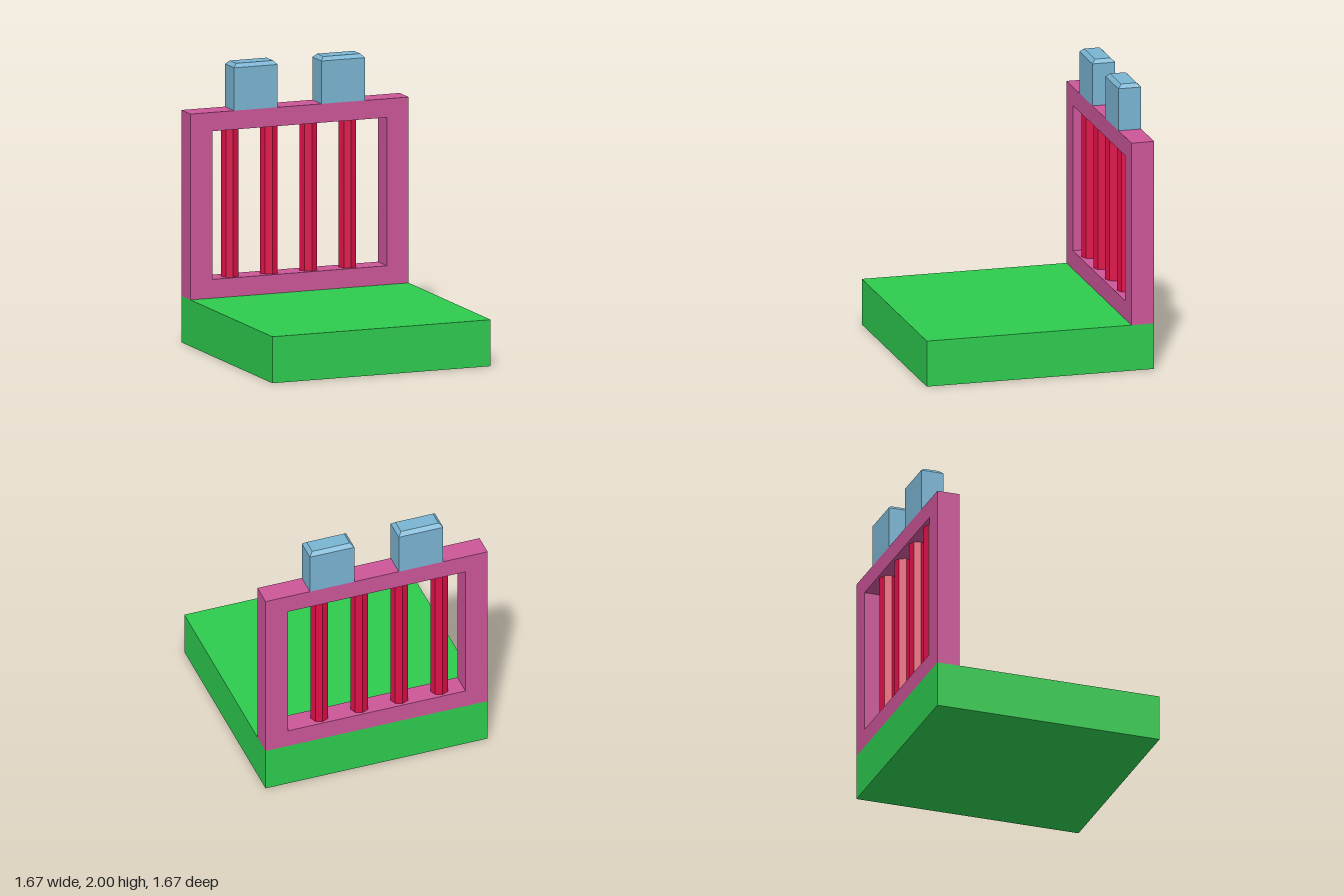
import * as THREE from 'three';

const W = 5 / 3;          // overall width and depth
const BASE_H = 1 / 3;     // base height
const FRAME_H = 4 / 3;    // wall height
const T = 1 / 6;          // wall thickness
const WALL_Z = -W / 2 + T / 2;

const paint = (color) => new THREE.MeshStandardMaterial({ color, flatShading: true });

function addMesh(parent, name, geometry, material, x, y, z) {
  const mesh = new THREE.Mesh(geometry, material);
  mesh.name = name;
  mesh.position.set(x, y, z);
  parent.add(mesh);
  return mesh;
}

// Upright rectangular frame with a window, centred in depth
function frameGeometry() {
  const rect = (path, x, y0, y1) =>
    path.moveTo(-x, y0).lineTo(x, y0).lineTo(x, y1).lineTo(-x, y1).closePath();
  const shape = new THREE.Shape();
  rect(shape, W / 2, 0, FRAME_H);
  const hole = new THREE.Path();
  rect(hole, W / 2 - T, 0.135, FRAME_H - 0.135);
  shape.holes.push(hole);
  return new THREE.ExtrudeGeometry(shape, { depth: T, bevelEnabled: false }).translate(0, 0, -T / 2);
}

// Block whose top edges are chamfered on all four sides
function merlonGeometry(w, h, d, c) {
  const geo = new THREE.BoxGeometry(w, h, d, 1, 2, 1);
  const p = geo.attributes.position;
  for (let i = 0; i < p.count; i++) {
    const y = p.getY(i);
    if (Math.abs(y) < 1e-4) p.setY(i, h / 2 - c);
    else if (y > 0) {
      p.setX(i, p.getX(i) - Math.sign(p.getX(i)) * c);
      p.setZ(i, p.getZ(i) - Math.sign(p.getZ(i)) * c);
    }
  }
  geo.computeVertexNormals();
  return geo;
}

export function createModel() {
  const model = new THREE.Group();
  model.name = 'barredWallTile';

  // Ground slab
  addMesh(model, 'base', new THREE.BoxGeometry(W, BASE_H, W), paint(0x2ecc4f), 0, BASE_H / 2, 0);

  // Window frame standing on the back edge
  addMesh(model, 'frame', frameGeometry(), paint(0xcc5699), 0, BASE_H, WALL_Z);

  // Octagonal bars
  const barGeo = new THREE.CylinderGeometry(T * 0.4, T * 0.4, FRAME_H - 0.26, 8);
  const barMat = paint(0xdc1048);
  [-0.5, -0.2, 0.1, 0.4].forEach((x, i) =>
    addMesh(model, `bar${i + 1}`, barGeo, barMat, x, BASE_H + FRAME_H / 2, WALL_Z));

  // Pair of battlement blocks on top
  const merlonGeo = merlonGeometry(1 / 3, 1 / 3, T, 0.026);
  const merlonMat = paint(0x7ab5d3);
  for (const [name, s] of [['leftMerlon', 1], ['rightMerlon', -1]])
    addMesh(model, name, merlonGeo, merlonMat, s / 3, BASE_H + FRAME_H + 1 / 6, WALL_Z);

  return model;
}
